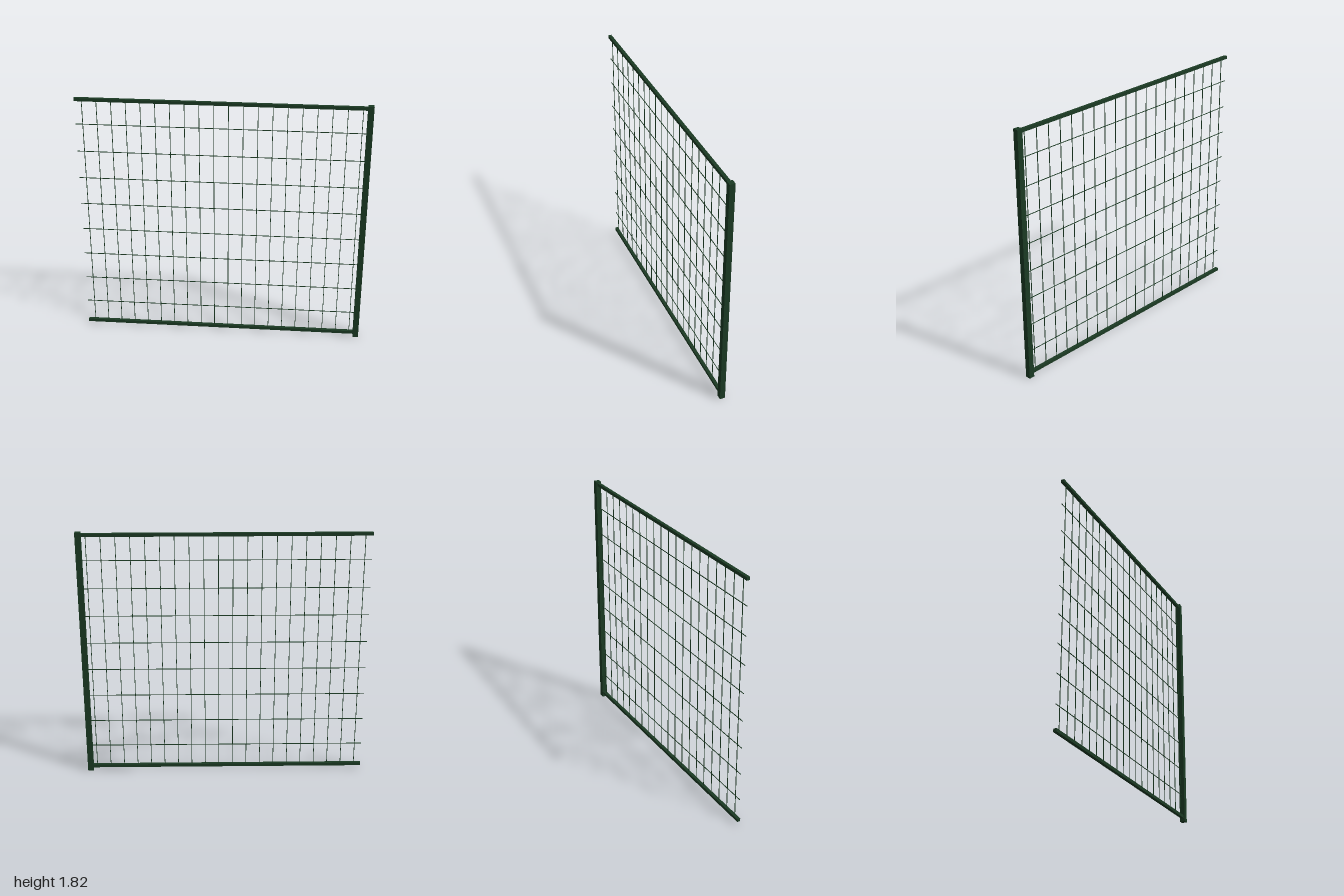
import * as THREE from 'three';

export function createModel() {
  const fence = new THREE.Group();
  fence.name = 'fencePanel';

  const fenceGreen = new THREE.MeshStandardMaterial({ name: 'fenceGreen', color: 0x1b3a23 });

  const left = -1, right = 0.96; // panel runs from its open end to the post
  const bottomY = 0.034, topY = 1.797;
  const midX = (left + right) / 2, span = right - left;

  const add = (name, geometry, x, y) => {
    const mesh = new THREE.Mesh(geometry, fenceGreen);
    mesh.name = name;
    mesh.position.set(x, y, 0);
    fence.add(mesh);
  };

  // Square end post
  add('post', new THREE.BoxGeometry(0.04, 1.816, 0.038), 0.98, 0.908);

  // Top and bottom rails
  const rail = new THREE.BoxGeometry(span, 0.022, 0.023);
  add('bottomRail', rail, midX, bottomY);
  add('topRail', rail, midX, topY);

  // Wire mesh
  const wire = 0.004;
  const upright = new THREE.BoxGeometry(wire, topY - bottomY, wire);
  for (let i = 0; i < 20; i++) {
    add(`verticalWire${i + 1}`, upright, -0.95 + i * 0.099, (topY + bottomY) / 2);
  }
  const crosswire = new THREE.BoxGeometry(span, wire, wire);
  for (let i = 0; i < 8; i++) {
    add(`horizontalWire${i + 1}`, crosswire, midX, 0.202 + i * 0.202);
  }

  return fence;
}
